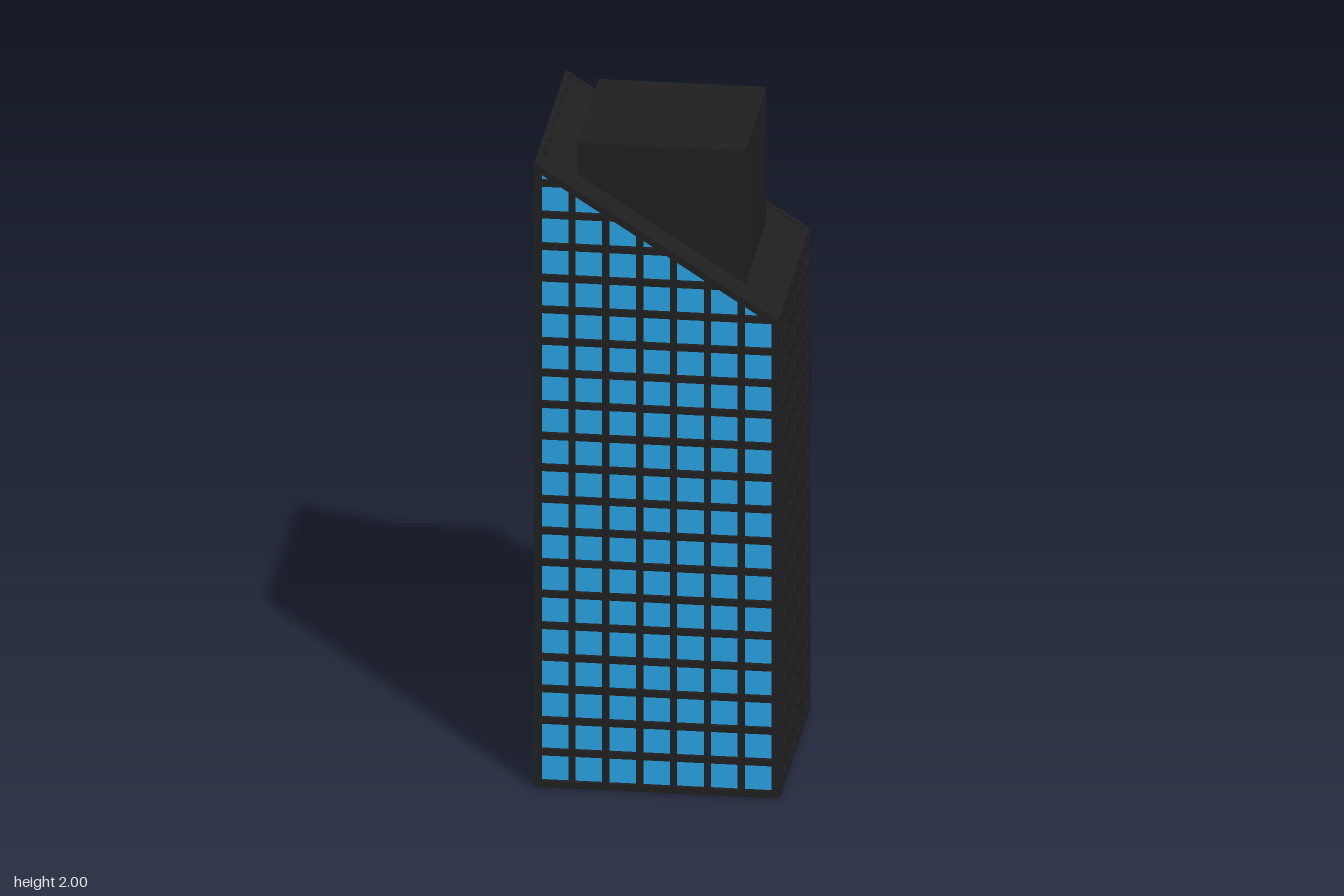
import * as THREE from 'three';

const glass = new THREE.MeshStandardMaterial({ color: 0x279fdc });
glass.name = 'blue glass';
const frame = new THREE.MeshStandardMaterial({ color: 0x1f1f1f });
frame.name = 'black frame';

const HALF = 0.35;   // glass half width
const OUT = 0.363;   // outer face of the mullions
const BAR = 0.02;
const roofY = (x) => 1.745 - 0.645 * x;
const roofX = (y) => (1.745 - y) / 0.645;

// Prism with an x-y outline, running from z0 to z1
function prism(name, points, z0, z1, material) {
  const shape = new THREE.Shape(points.map(([x, y]) => new THREE.Vector2(x, y)));
  const geo = new THREE.ExtrudeGeometry(shape, { depth: z1 - z0, bevelEnabled: false });
  geo.translate(0, 0, z0);
  const mesh = new THREE.Mesh(geo, material);
  mesh.name = name;
  return mesh;
}

// Box from its lower to its upper corner
function block(name, a, b, material) {
  const geo = new THREE.BoxGeometry(b[0] - a[0], b[1] - a[1], b[2] - a[2]);
  geo.translate((a[0] + b[0]) / 2, (a[1] + b[1]) / 2, (a[2] + b[2]) / 2);
  const mesh = new THREE.Mesh(geo, material);
  mesh.name = name;
  return mesh;
}

// Strip that follows the slope of the roof
function slopeStrip(name, x0, x1, drop, thick, z0, z1) {
  return prism(name, [
    [x0, roofY(x0) - drop - thick], [x1, roofY(x1) - drop - thick],
    [x1, roofY(x1) - drop], [x0, roofY(x0) - drop],
  ], z0, z1, frame);
}

export function createModel() {
  const tower = new THREE.Group();
  tower.name = 'tower';

  // Glass body with a slanted top
  tower.add(prism('glassBody', [
    [-HALF, 0.012], [HALF, 0.012], [HALF, roofY(HALF) - 0.012], [-HALF, roofY(-HALF) - 0.012],
  ], -HALF, HALF, glass));

  const lines = [];
  for (let i = 0; i < 8; i++) lines.push(-0.35 + i * 0.1);
  const h = BAR / 2;

  // Front and back mullions, cut off by the roof slope
  for (const side of [1, -1]) {
    const wall = new THREE.Group();
    wall.name = side > 0 ? 'frontMullions' : 'backMullions';
    const z0 = side > 0 ? HALF - 0.01 : -OUT;
    const z1 = z0 + OUT - HALF + 0.01;
    for (const x of lines) {
      wall.add(prism('verticalBar', [
        [x - h, 0.004], [x + h, 0.004], [x + h, roofY(x + h) - 0.004], [x - h, roofY(x - h) - 0.004],
      ], z0, z1, frame));
    }
    for (let k = 0; k < 20; k++) {
      const y = 0.012 + k * 0.1;
      const lo = Math.min(0.36, roofX(y - h));
      const hi = Math.min(0.36, roofX(y + h));
      wall.add(prism('horizontalBar', [
        [-0.36, y - h], [lo, y - h], [hi, y + h], [-0.36, y + h],
      ], z0, z1, frame));
    }
    tower.add(wall);
  }

  // Left (low) and right (high) side mullions
  for (const side of [1, -1]) {
    const wall = new THREE.Group();
    wall.name = side > 0 ? 'leftMullions' : 'rightMullions';
    const x0 = side > 0 ? HALF - 0.01 : -OUT;
    const x1 = x0 + OUT - HALF + 0.01;
    const top = roofY(side * 0.36) - 0.006;
    for (const z of lines) {
      wall.add(block('verticalBar', [x0, 0.004, z - h], [x1, top, z + h], frame));
    }
    for (let y = 0.012; y + h < top; y += 0.1) {
      wall.add(block('horizontalBar', [x0, y - h, -0.36], [x1, y + h, 0.36], frame));
    }
    tower.add(wall);
  }

  // Grid under the base
  const base = new THREE.Group();
  base.name = 'baseGrid';
  for (const p of lines) {
    base.add(block('baseBarAcross', [-0.355, 0, p - h], [0.355, 0.016, p + h], frame));
    base.add(block('baseBarAlong', [p - h, 0, -0.355], [p + h, 0.016, 0.355], frame));
  }
  tower.add(base);

  // Slanted roof with a low rim
  const roof = new THREE.Group();
  roof.name = 'roof';
  roof.add(slopeStrip('roofSlab', -0.355, 0.355, 0.006, 0.018, -0.36, 0.36));
  roof.add(slopeStrip('rimFront', -0.36, 0.36, 0, 0.024, 0.345, OUT));
  roof.add(slopeStrip('rimBack', -0.36, 0.36, 0, 0.024, -OUT, -0.345));
  roof.add(slopeStrip('rimHigh', -0.36, -0.345, 0, 0.024, -0.345, 0.345));
  roof.add(slopeStrip('rimLow', 0.345, 0.36, 0, 0.024, -0.345, 0.345));
  tower.add(roof);

  // Square block rising out of the roof
  tower.add(block('rooftopBlock', [-0.248, 1.5, -0.248], [0.248, 2, 0.248], frame));

  return tower;
}
